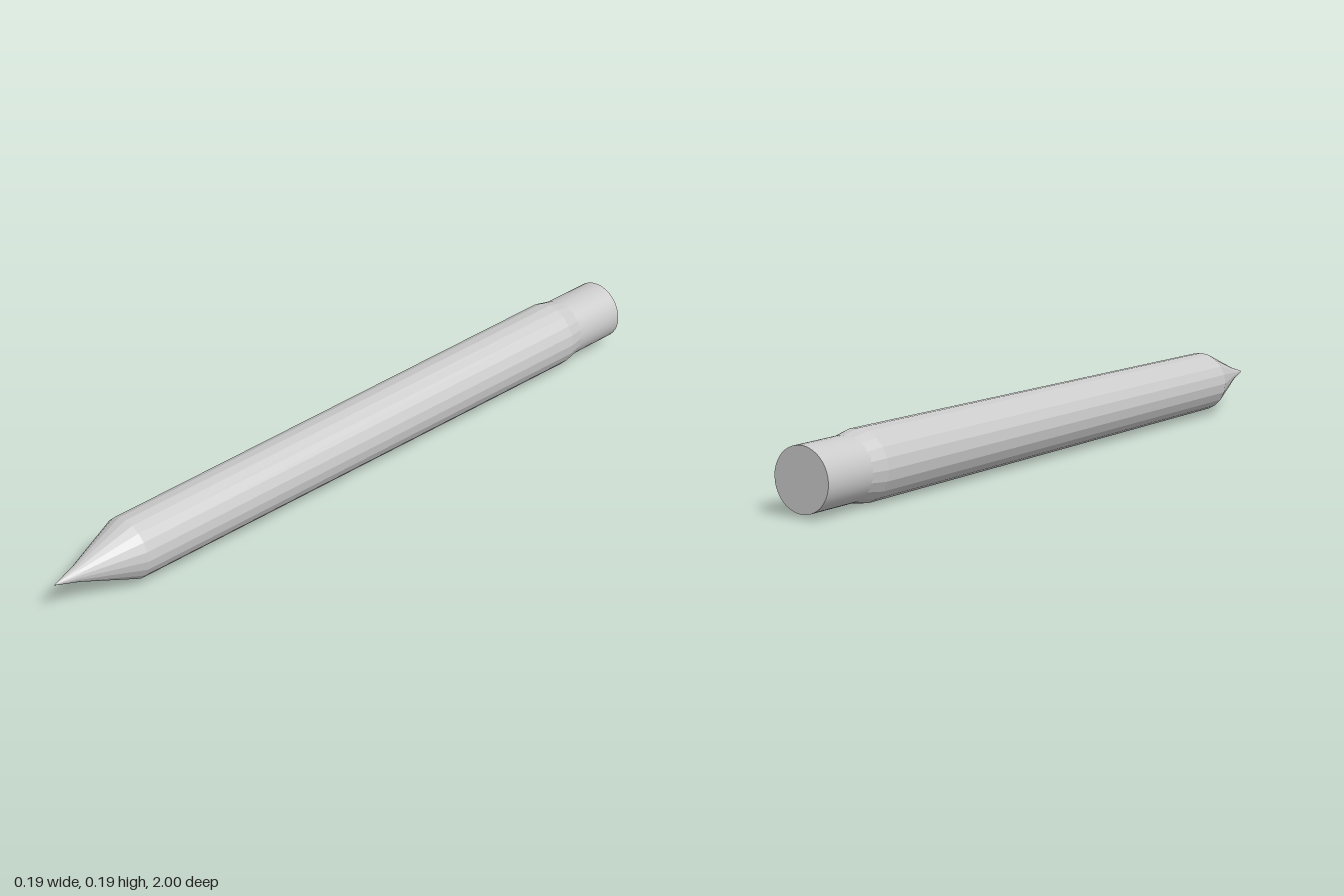
import * as THREE from 'three';

const AXIS_Y = 0.0925;

// Lathe along z from [z, radius] pairs, listed back to front.
function turned(name, profile, sides, flatShading) {
  const points = profile.map(([z, r]) => new THREE.Vector2(r, z));
  let geometry = new THREE.LatheGeometry(points, sides).rotateX(Math.PI / 2);
  if (flatShading) {
    geometry = geometry.toNonIndexed();
    geometry.computeVertexNormals();
  }
  const mesh = new THREE.Mesh(
    geometry,
    new THREE.MeshStandardMaterial({ color: 0xcccccc, flatShading })
  );
  mesh.name = name;
  return mesh;
}

export function createModel() {
  const pencil = new THREE.Group();
  pencil.name = 'pencil';

  // Faceted shaft, widening slightly toward the back and closing on the eraser
  const shaft = turned('shaft', [[-0.84, 0.083], [-0.79, 0.0925], [0.77, 0.083]], 20, true);

  // Sharpened wood cone
  const cone = turned('sharpenedCone', [[0.77, 0.083], [0.93, 0.021]], 20, true);

  // Pointed lead
  const lead = turned('lead', [[0.93, 0.021], [0.96, 0.012], [1, 0]], 20, false);

  // Round eraser end with a flat cap
  const eraser = new THREE.Mesh(
    new THREE.CylinderGeometry(0.083, 0.083, 0.17, 40).rotateX(Math.PI / 2),
    new THREE.MeshStandardMaterial({ color: 0xcccccc })
  );
  eraser.name = 'eraser';
  eraser.position.z = -0.915;

  pencil.add(shaft, cone, lead, eraser);
  pencil.children.forEach((part) => { part.position.y = AXIS_Y; });
  return pencil;
}
